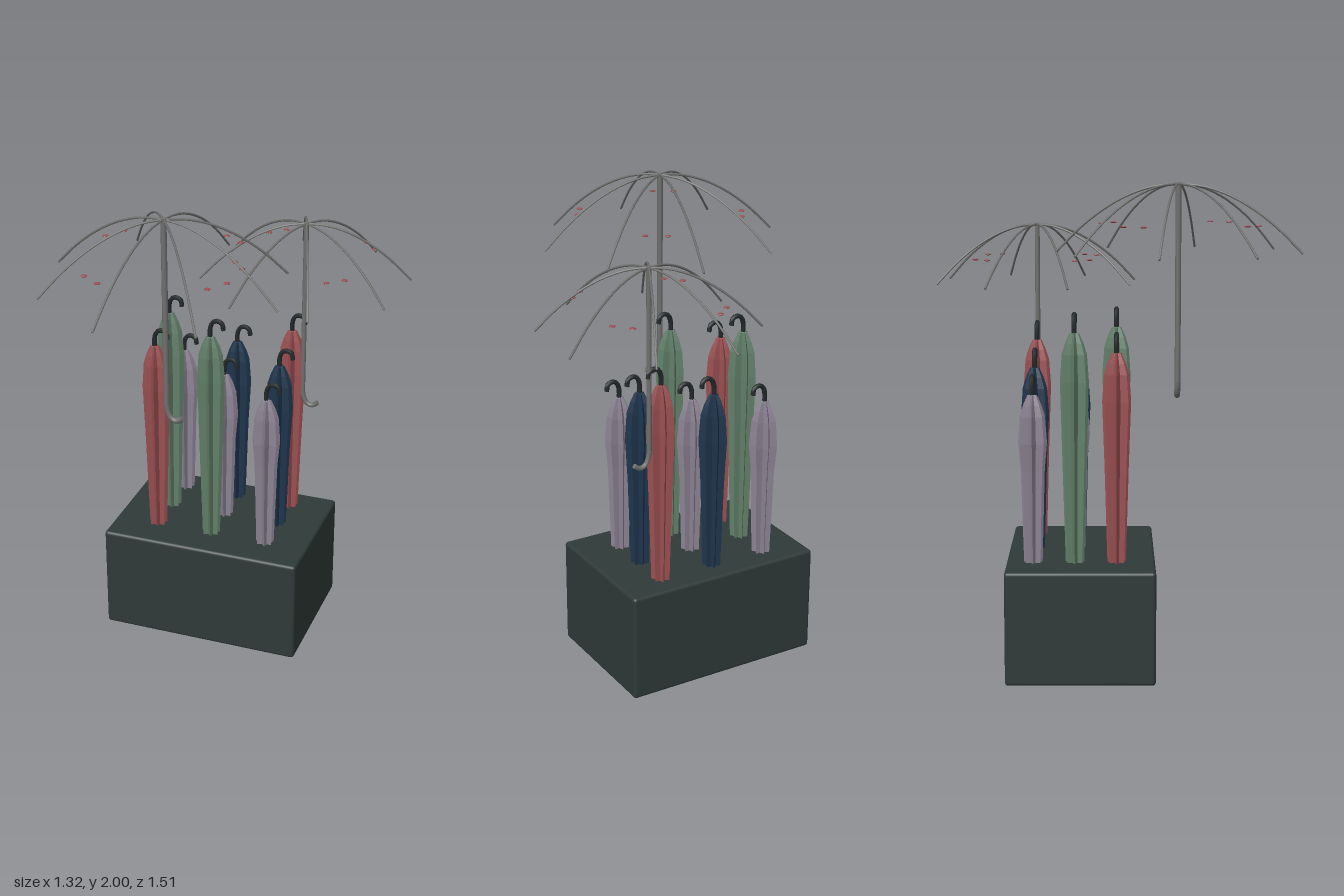
import * as THREE from 'three';
import { RoundedBoxGeometry } from 'three/addons/geometries/RoundedBoxGeometry.js';

const mat = (name, color, extra = {}) => {
  const m = new THREE.MeshStandardMaterial({ color, ...extra });
  m.name = name;
  return m;
};
const V = (x, y, z = 0) => new THREE.Vector3(x, y, z);

export function createModel() {
  const flat = { flatShading: true };
  const mats = {
    box: mat('dark slate', 0x2f3a38),
    red: mat('dusty red', 0x9a4f52, flat),
    green: mat('sage green', 0x627f69, flat),
    blue: mat('navy blue', 0x1e344c, flat),
    lilac: mat('grey lilac', 0x8b8292, flat),
    handle: mat('black handle', 0x23292b),
    metal: mat('grey metal', 0x6f706e),
  };
  const model = new THREE.Group();
  model.name = 'umbrellaStand';

  const add = (parent, name, geometry, material) => {
    const mesh = new THREE.Mesh(geometry, material);
    mesh.name = name;
    parent.add(mesh);
    return mesh;
  };
  // Tube with closed ends along a smooth path
  const rod = (parent, name, points, radius, material, steps = 16, sides = 8) => {
    const curve = new THREE.CatmullRomCurve3(points);
    add(parent, name, new THREE.TubeGeometry(curve, steps, radius, sides), material);
    [0, 1].forEach((t) => {
      const cap = add(parent, name + 'End', new THREE.CircleGeometry(radius, sides), material);
      cap.position.copy(curve.getPoint(t));
      const dir = curve.getTangent(t).multiplyScalar(t ? 1 : -1);
      cap.quaternion.setFromUnitVectors(V(0, 0, 1), dir);
    });
  };

  // Stand
  const stand = add(model, 'standBox', new RoundedBoxGeometry(0.873, 0.467, 0.607, 3, 0.014), mats.box);
  stand.position.set(-0.067, 0.2355, -0.141);

  // Pleated canopy of a folded umbrella: a lathe with every other edge pulled in
  const FOLDS = 7;
  const foldedCanopy = (top) => {
    const profile = [[0, 0.44], [0.038, 0.44], [0.05, 0.85], [0.06, top - 0.2],
      [0.052, top - 0.09], [0.038, top - 0.045], [0.02, top - 0.005], [0, top]];
    const g = new THREE.LatheGeometry(profile.map(([r, y]) => new THREE.Vector2(r, y)), FOLDS * 2);
    const p = g.attributes.position;
    for (let i = 0; i < p.count; i++) {
      if (Math.floor(i / profile.length) % 2) {
        p.setX(i, p.getX(i) * 0.58);
        p.setZ(i, p.getZ(i) * 0.58);
      }
    }
    g.rotateY(-Math.PI / 2);
    const out = g.toNonIndexed();
    out.computeVertexNormals();
    return out;
  };

  // Nine folded umbrellas in a grid
  const tops = { red: 1.33, green: 1.41, blue: 1.24, lilac: 1.16 };
  const rows = [['lilac', 'blue', 'red'], ['green', 'lilac', 'blue'], ['red', 'green', 'lilac']];
  rows.forEach((row, r) => row.forEach((color, c) => {
    const umbrella = new THREE.Group();
    umbrella.name = 'foldedUmbrella';
    umbrella.position.set(-0.312 + c * 0.247, 0, -0.335 + r * 0.17);
    const top = tops[color];
    add(umbrella, 'foldedCanopy', foldedCanopy(top), mats[color]);
    rod(umbrella, 'hookHandle', [V(0, top - 0.03), V(0, top + 0.035), V(0.012, top + 0.063),
      V(0.033, top + 0.07), V(0.052, top + 0.06), V(0.057, top + 0.033)], 0.01, mats.handle, 12, 6);
    model.add(umbrella);
  }));

  // Open umbrella: shaft with hook, eight bare ribs and four pairs of drops
  const openUmbrella = ({ x, z, top, drop, reach, hookY, radius, turn, dotR, dotY }) => {
    const umbrella = new THREE.Group();
    umbrella.name = 'openUmbrella';
    umbrella.position.set(x, 0, z);
    const shaft = add(umbrella, 'shaft', new THREE.CylinderGeometry(radius, radius, top - hookY, 10), mats.metal);
    shaft.position.y = (top + hookY) / 2;
    rod(umbrella, 'shaftHook', [V(0, hookY), V(0.005, hookY - 0.03), V(0.017, hookY - 0.055),
      V(0.036, hookY - 0.066), V(0.053, hookY - 0.062), V(0.068, hookY - 0.05)], radius, mats.metal, 16, 10);
    for (let k = 0; k < 8; k++) {
      const a = turn + (k * Math.PI) / 4;
      const points = [0, 0.2, 0.4, 0.6, 0.8, 1].map((t) =>
        V(Math.cos(a) * reach * t, top - 0.005 - drop * t * t, Math.sin(a) * reach * t));
      rod(umbrella, 'rib', points, 0.0048, mats.metal, 16, 6);
    }
    for (let k = 0; k < 4; k++) {
      for (const side of [-1, 1]) {
        const a = turn + Math.PI / 8 + (k * Math.PI) / 2 + side * 0.133;
        const dot = add(umbrella, 'drop', new THREE.SphereGeometry(0.013, 12, 8), mats.red);
        dot.scale.y = 0.3;
        dot.position.set(Math.cos(a) * dotR, dotY, Math.sin(a) * dotR);
      }
    }
    model.add(umbrella);
  };
  openUmbrella({ x: -0.162, z: 0.255, top: 2, drop: 0.278, reach: 0.505, hookY: 1.195,
    radius: 0.012, turn: 0.18, dotR: 0.345, dotY: 1.832 });
  openUmbrella({ x: 0.234, z: -0.333, top: 1.822, drop: 0.247, reach: 0.442, hookY: 1.053,
    radius: 0.0105, turn: 0.464, dotR: 0.302, dotY: 1.676 });

  return model;
}
